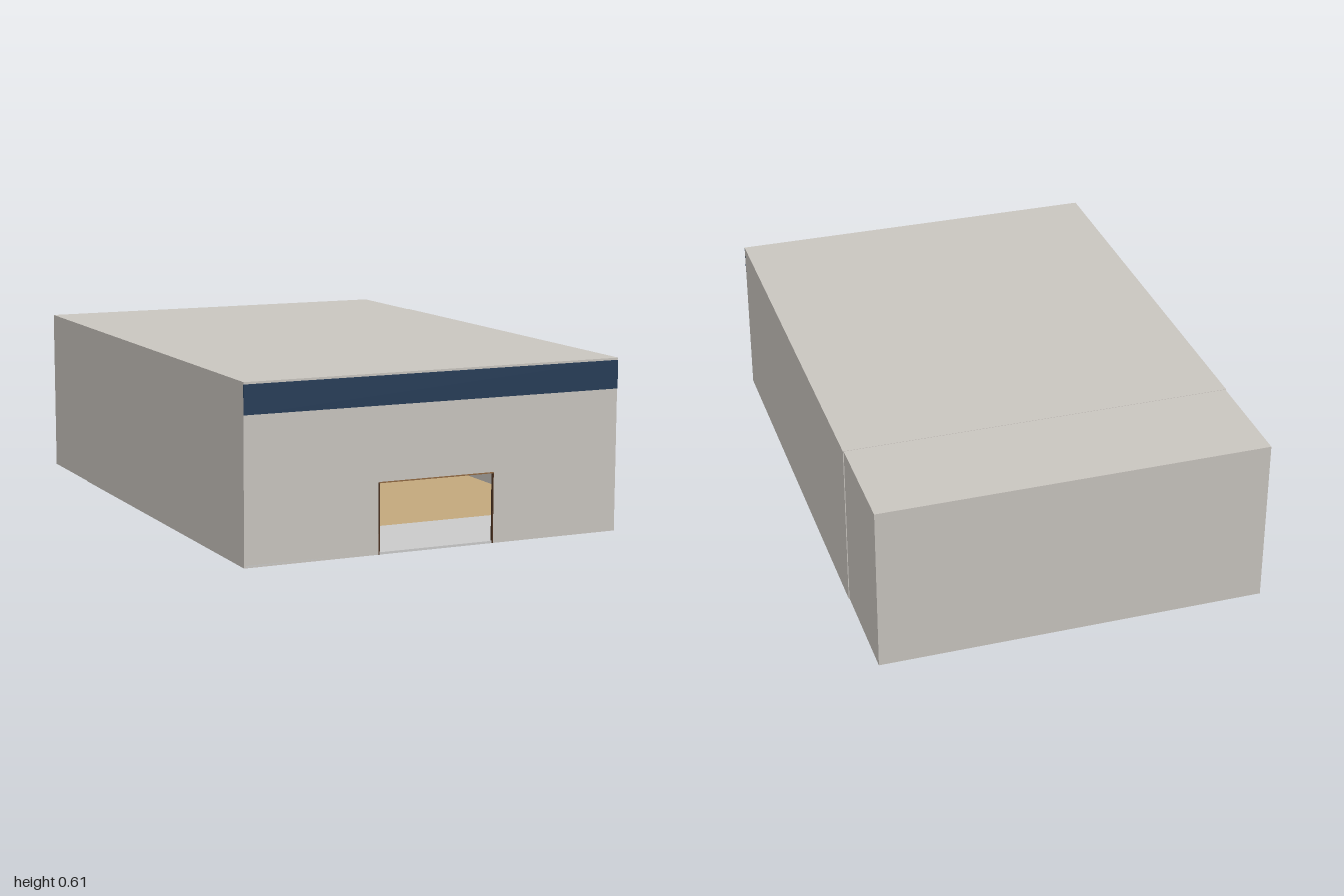
import * as THREE from 'three';

const material = (name, color) => {
  const m = new THREE.MeshStandardMaterial({ color });
  m.name = name;
  return m;
};

export function createModel() {
  const model = new THREE.Group();
  model.name = 'hall';
  const wall = material('warm grey wall', 0xc9c5bf);
  const blue = material('navy blue', 0x223a56);
  const wood = material('brown wood', 0x8f6841);
  const dark = material('dark brown', 0x4a2f1c);
  const tan = material('tan floor', 0xc2a87c);
  const grey = material('grey floor', 0xcacaca);

  // Box given by its minimum and maximum corners
  const box = (name, mat, x0, x1, y0, y1, z0, z1, parent = model) => {
    const mesh = new THREE.Mesh(new THREE.BoxGeometry(x1 - x0, y1 - y0, z1 - z0), mat);
    mesh.position.set((x0 + x1) / 2, (y0 + y1) / 2, (z0 + z1) / 2);
    mesh.name = name;
    parent.add(mesh);
    return mesh;
  };

  const W = 0.695, H = 0.607, T = 0.006, SPLIT = -0.6;
  const DOOR = 0.213, DOOR_H = 0.243;

  // Front wall with a doorway open down to the ground
  const outline = new THREE.Shape([
    [-W, 0], [-DOOR, 0], [-DOOR, DOOR_H], [DOOR, DOOR_H],
    [DOOR, 0], [W, 0], [W, H - T], [-W, H - T],
  ].map(([x, y]) => new THREE.Vector2(x, y)));
  const front = new THREE.Mesh(
    new THREE.ExtrudeGeometry(outline, { depth: T, bevelEnabled: false }), wall);
  front.position.z = 0.997 - T;
  front.name = 'frontWall';
  model.add(front);
  box('frontFascia', blue, -W, W, 0.5, 0.599, 0.997, 1);

  // Side walls: the rear section steps in very slightly
  for (const s of [-1, 1]) {
    const side = (name, x, z0, z1) =>
      box(name, wall, Math.min(s * x, s * (x - T)), Math.max(s * x, s * (x - T)), 0, H - T, z0, z1);
    side('sideWall', W, SPLIT, 0.997 - T);
    side('rearSideWall', W - 0.003, -1 + T, SPLIT);
  }
  box('backWall', wall, -W + 0.003, W - 0.003, 0, H - T, -1, -1 + T);
  box('roof', wall, -W, W, H - T, H, SPLIT, 1);
  box('rearRoof', wall, -W + 0.003, W - 0.003, H - T, H - 0.001, -1, SPLIT);

  // Floors
  const inner = W - T;
  box('lobbyFloor', grey, -inner, inner, 0, 0.008, 0.63, 0.997);
  box('hallFloor', tan, -inner, inner, 0, 0.008, SPLIT, 0.63);

  // Thin door frame
  for (const s of [-1, 1]) {
    box('doorJamb', dark, s * DOOR - 0.002, s * DOOR + 0.002, 0, DOOR_H, 0.99, 0.999);
  }
  box('doorHeader', wood, -DOOR, DOOR, DOOR_H - 0.002, DOOR_H + 0.002, 0.99, 0.999);

  // Raised platform at the rear on a recessed base
  const platform = new THREE.Group();
  platform.name = 'platform';
  model.add(platform);
  box('platformDeck', wood, -0.63, 0.63, 0.04, 0.12, -1 + T, -0.59, platform);
  box('baseFront', wood, -0.56, 0.56, 0.008, 0.04, -0.6, -0.592, platform);
  box('baseBack', blue, -0.56, 0.56, 0.004, 0.04, -0.606, -0.6, platform);
  for (const s of [-1, 1]) {
    box('baseSide', wood, s * 0.555 - 0.006, s * 0.555 + 0.006, 0.004, 0.04, -1 + T, -0.606, platform);
  }

  // Panel joints on the platform front
  for (const x of [-0.167, -0.137, 0.108, 0.138]) {
    box('deckJoint', dark, x - 0.0015, x + 0.0015, 0.04, 0.12, -0.59, -0.588, platform);
  }
  for (const x of [-0.045, -0.015, 0.015]) {
    box('deckStripe', blue, x - 0.0015, x + 0.0015, 0.04, 0.12, -0.59, -0.588, platform);
  }
  for (let i = -5; i <= 5; i++) {
    const x = i * 0.05;
    box('baseJoint', i % 2 ? blue : dark, x - 0.0015, x + 0.0015, 0.01, 0.04, -0.592, -0.588, platform);
  }
  return model;
}
